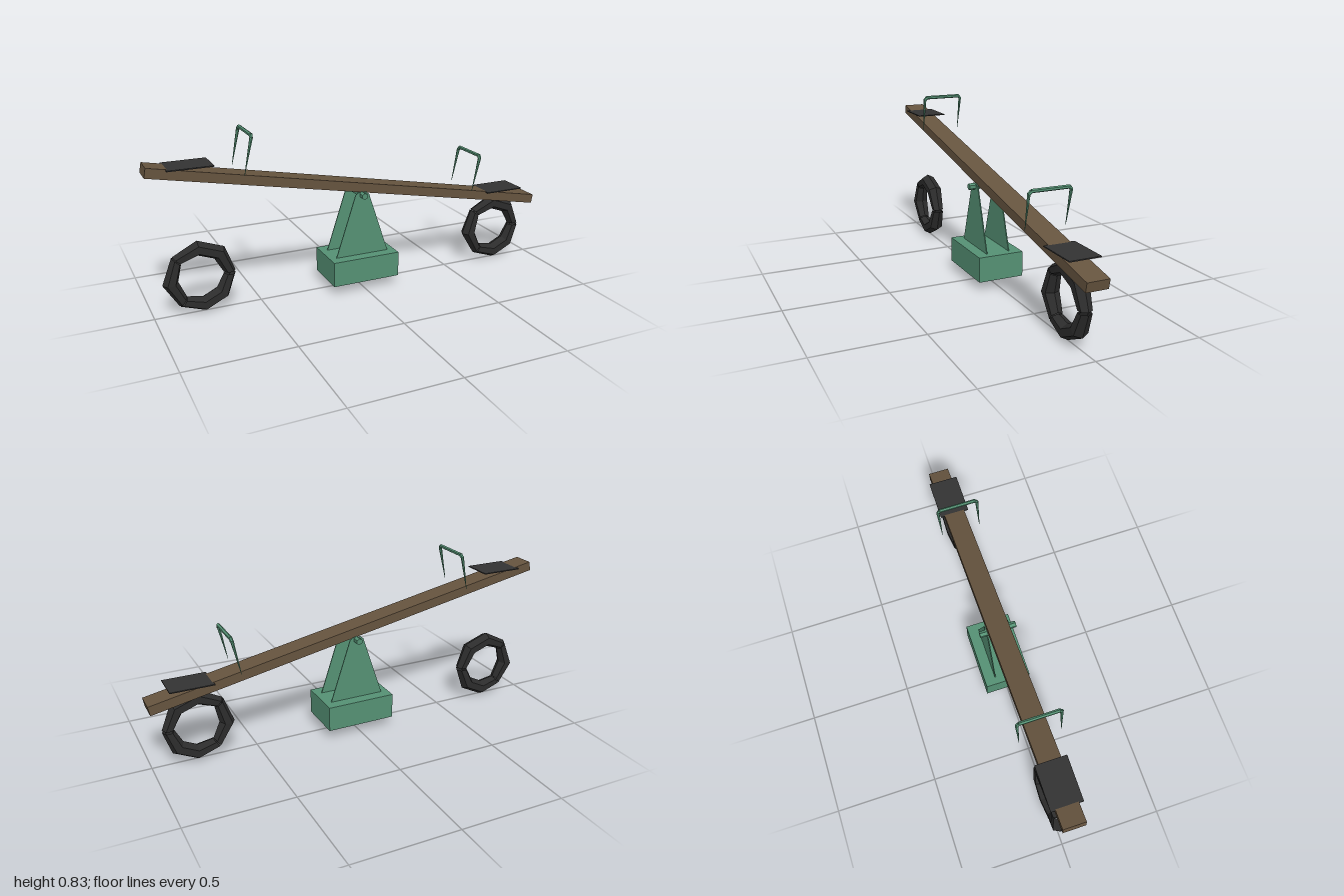
import * as THREE from 'three';

const mat = (color, side = THREE.FrontSide) =>
  new THREE.MeshStandardMaterial({ color, side, flatShading: true });
const green = mat(0x559174);
const wood = mat(0x66543f);
const seatBlack = mat(0x333333);
const rubber = mat(0x2c2c2c, THREE.DoubleSide);

function add(parent, name, geometry, material, x = 0, y = 0, z = 0) {
  const mesh = new THREE.Mesh(geometry, material);
  mesh.name = name;
  mesh.position.set(x, y, z);
  parent.add(mesh);
  return mesh;
}

// Tapered rod from point a (radius ra) to point b (radius rb)
function rod(parent, name, a, b, ra, rb) {
  const p = new THREE.Vector3(...a), q = new THREE.Vector3(...b);
  const dir = q.clone().sub(p);
  const mesh = add(parent, name, new THREE.CylinderGeometry(rb, ra, dir.length(), 6), green);
  mesh.position.copy(p).add(q).multiplyScalar(0.5);
  mesh.quaternion.setFromUnitVectors(new THREE.Vector3(0, 1, 0), dir.normalize());
}

// Handle: top bar, chamfered corners and legs tapering to a point
function handle(name, x, y) {
  const g = new THREE.Group();
  g.name = name;
  rod(g, 'handleBar', [0.038, 0.176, -0.09], [0.038, 0.176, 0.09], 0.009, 0.009);
  for (const s of [-1, 1]) {
    rod(g, 'handleCorner', [0.038, 0.176, s * 0.088], [0.036, 0.163, s * 0.1], 0.009, 0.008);
    rod(g, 'handleLeg', [0.036, 0.168, s * 0.099], [0, 0, s * 0.097], 0.008, 0.001);
  }
  g.position.set(x, y, 0);
  return g;
}

// Curved tyre chunk between two angles, pinched at its ends
function tyreChunk(from, to, segments) {
  const R = 0.137, deg = Math.PI / 180, arc = (to - from) * deg;
  const geo = new THREE.TorusGeometry(R, 0.036, 6, segments, arc);
  const pos = geo.attributes.position, v = new THREE.Vector3();
  for (let i = 0; i < pos.count; i++) {
    v.fromBufferAttribute(pos, i);
    const k = i % (segments + 1);
    const pinch = k === 0 || k === segments ? 0.78 : 1;
    const r = Math.hypot(v.x, v.y), nr = R + (r - R) * pinch;
    pos.setXYZ(i, v.x * nr / r, v.y * nr / r, v.z * pinch * 1.1);
  }
  geo.rotateZ(from * deg);
  geo.computeVertexNormals();
  return geo;
}

function tyre(name, x) {
  const g = new THREE.Group();
  g.name = name;
  for (const [a, b, n] of [[2, 137, 3], [139, 232, 2], [234, 358, 3]])
    add(g, 'tyreChunk', tyreChunk(a, b, n), rubber);
  g.position.set(x, 0.18, 0);
  return g;
}

export function createModel() {
  const model = new THREE.Group();
  model.name = 'seesaw';

  // Base block and the two support plates
  add(model, 'base', new THREE.BoxGeometry(0.34, 0.122, 0.226), green, 0, 0.115, 0);
  const shape = new THREE.Shape([
    [-0.137, 0.17], [0.137, 0.17], [0.035, 0.478], [0.02, 0.49], [-0.02, 0.49], [-0.035, 0.478],
  ].map(p => new THREE.Vector2(...p)));
  const plate = new THREE.ExtrudeGeometry(shape, { depth: 0.005, bevelEnabled: false });
  plate.translate(0, 0, -0.0025);
  for (const s of [-1, 1]) add(model, 'supportPlate', plate, green, 0, 0, s * 0.057);

  // Pivot
  const pivot = new THREE.CylinderGeometry(0.016, 0.016, 0.18, 6);
  pivot.rotateX(Math.PI / 2);
  add(model, 'pivot', pivot, green, 0, 0.477, 0);

  // Tilted plank
  const plank = add(model, 'plank', new THREE.BoxGeometry(2.029, 0.045, 0.104), wood, 0, 0.511, 0);
  plank.rotation.z = -0.192;

  // Seats stay level
  const seat = new THREE.BoxGeometry(0.204, 0.005, 0.146);
  add(model, 'rightSeat', seat, seatBlack, -0.807, 0.707, 0);
  add(model, 'leftSeat', seat, seatBlack, 0.803, 0.394, 0);

  model.add(handle('rightHandle', -0.581, 0.655), handle('leftHandle', 0.586, 0.43));
  model.add(tyre('rightTyre', -0.782), tyre('leftTyre', 0.775));
  return model;
}
